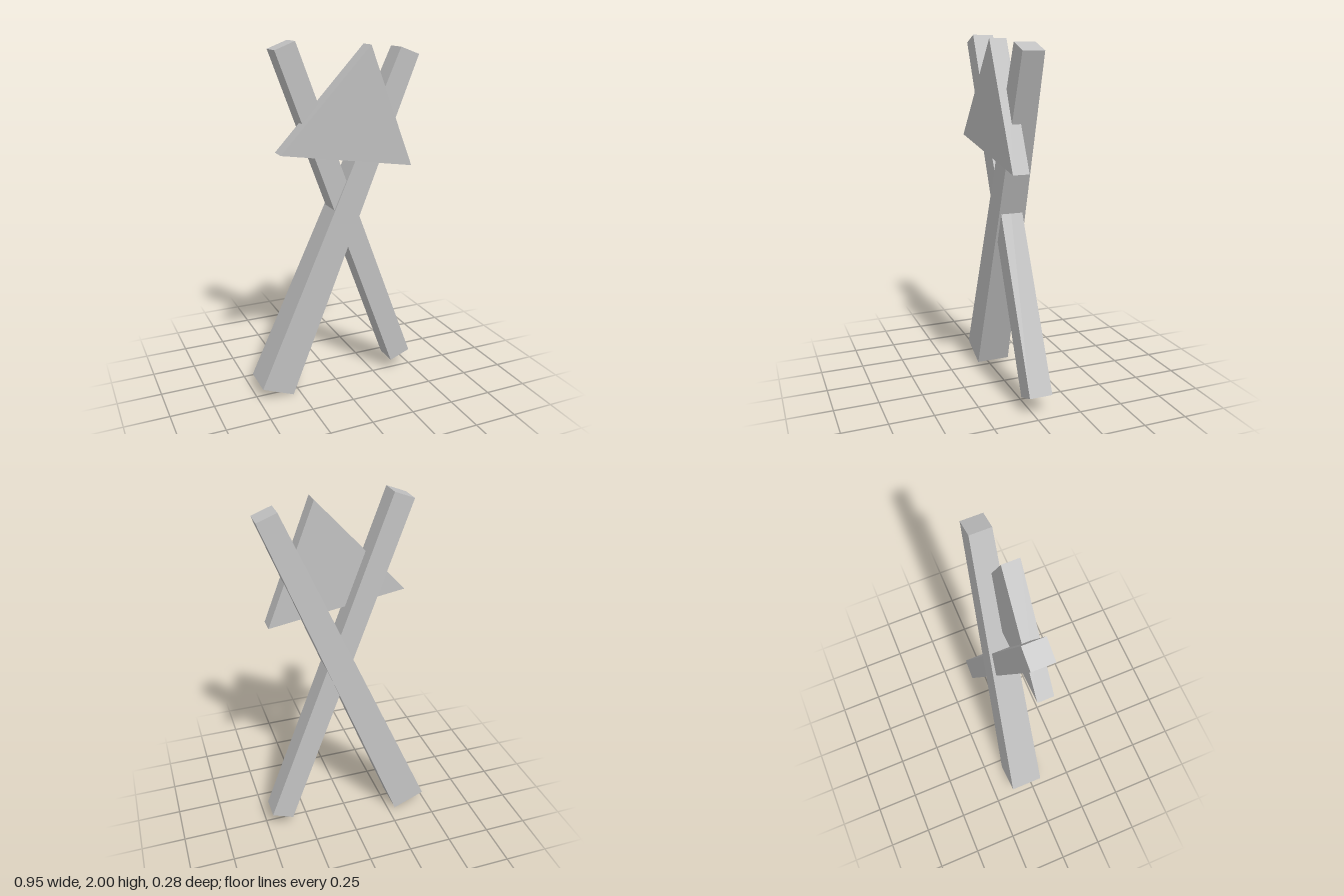
import * as THREE from 'three';

const grey = new THREE.MeshStandardMaterial({ color: 0xc0c0c0 });
grey.name = 'plain grey';

// Extrudes a front outline, then slants its back and front faces linearly with height.
// low and high are [y, back z, front z].
function slantedPrism(name, outline, low, high) {
  const shape = new THREE.Shape(outline.map(([x, y]) => new THREE.Vector2(x, y)));
  const geometry = new THREE.ExtrudeGeometry(shape, { depth: 1, bevelEnabled: false });
  const position = geometry.attributes.position;
  for (let i = 0; i < position.count; i++) {
    const t = (position.getY(i) - low[0]) / (high[0] - low[0]);
    const back = low[1] + (high[1] - low[1]) * t;
    const front = low[2] + (high[2] - low[2]) * t;
    position.setZ(i, back + (front - back) * position.getZ(i));
  }
  geometry.computeVertexNormals();
  const mesh = new THREE.Mesh(geometry, grey);
  mesh.name = name;
  return mesh;
}

export function createModel() {
  const group = new THREE.Group();
  group.name = 'crossed posts with sign';

  // Thick post, tapering from lower right to upper left
  group.add(slantedPrism('thickPost',
    [[-0.479, 0.077], [-0.295, 0.003], [0.452, 1.916], [0.342, 1.957]],
    [0.04, -0.137, 0.061], [1.935, -0.033, 0.084]));

  // Thin post crossing it the other way
  group.add(slantedPrism('thinPost',
    [[0.353, 0.073], [0.475, 0.121], [-0.259, 2.0], [-0.369, 1.958]],
    [0.097, -0.093, 0.038], [1.98, -0.033, 0.085]));

  // Triangular board fixed across the front
  group.add(slantedPrism('triangleBoard',
    [[-0.36, 1.434], [0.409, 1.314], [0.139, 1.976]],
    [1.314, 0.023, 0.113], [1.976, 0.042, 0.136]));

  return group;
}
